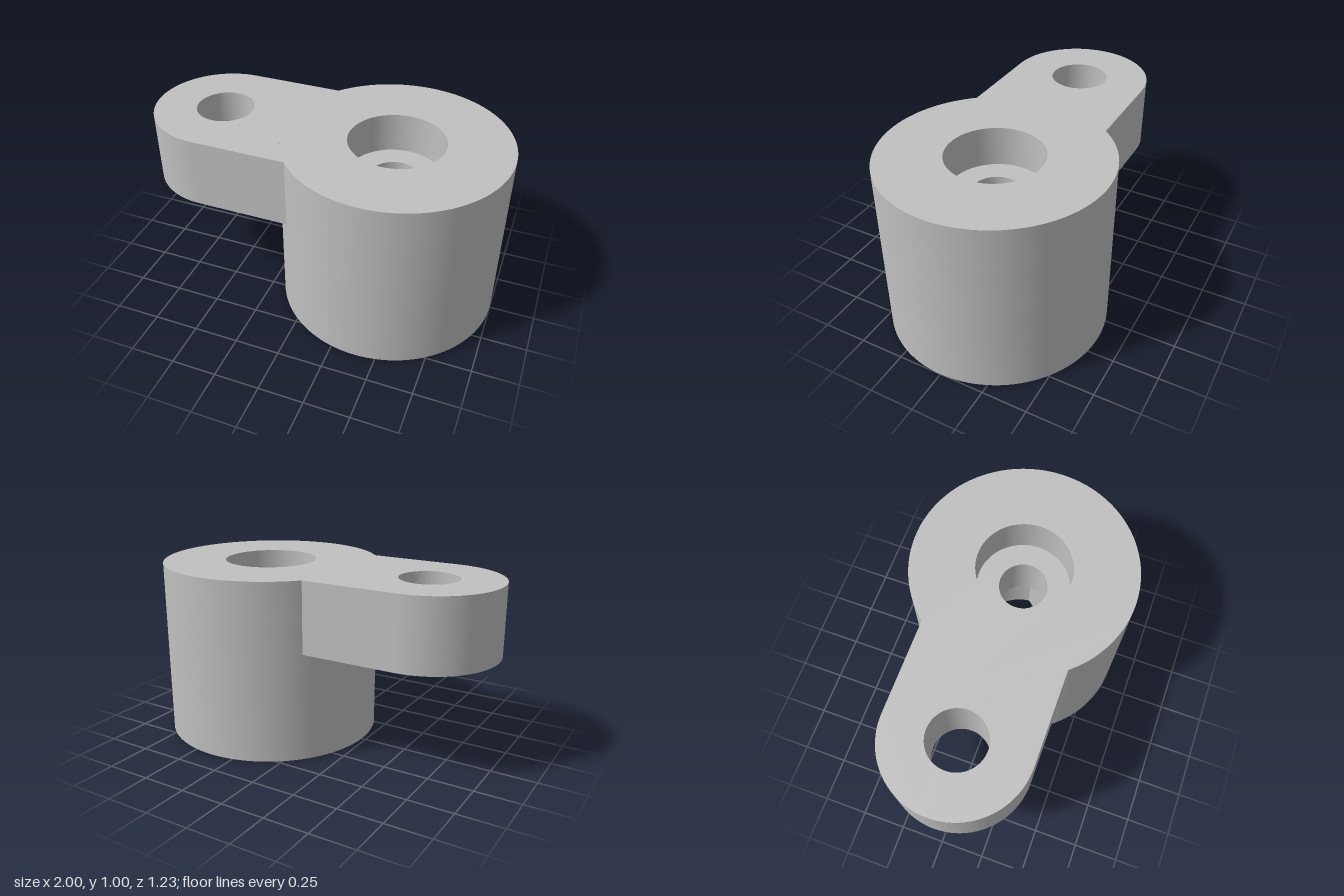
import * as THREE from 'three';
import { toCreasedNormals } from 'three/addons/utils/BufferGeometryUtils.js';

const TOP = 0.995;
const BOSS = { x: 0.387, r: 0.613 };
const ARM = { x: -0.605, r: 0.395, bottom: 0.6, hole: 0.16 };

function circle(PathType, x, r) {
  return new PathType().absarc(x, 0, r, 0, Math.PI * 2, false);
}

// Double-D socket: a circle cut by two parallel flats
function socketPath() {
  const dir = THREE.MathUtils.degToRad(50), half = THREE.MathUtils.degToRad(43.6);
  const path = new THREE.Path();
  path.absarc(BOSS.x, 0, 0.28, dir - half, dir + half, false);
  path.absarc(BOSS.x, 0, 0.28, dir + Math.PI - half, dir + Math.PI + half, false);
  path.closePath();
  return path;
}

// Upright slab between two heights, smooth round walls and sharp rims
function slab(name, shape, y0, y1, material) {
  const extruded = new THREE.ExtrudeGeometry(shape, { depth: y1 - y0, bevelEnabled: false, curveSegments: 72 });
  extruded.rotateX(-Math.PI / 2);
  const mesh = new THREE.Mesh(toCreasedNormals(extruded, Math.PI / 6), material);
  mesh.position.y = y0;
  mesh.name = name;
  return mesh;
}

export function createModel() {
  const group = new THREE.Group();
  group.name = 'leverKnob';
  const grey = new THREE.MeshStandardMaterial({ color: 0xc0c0c0 });
  grey.name = 'plainGrey';

  // Boss stacked from socket, screw bore and counterbore
  const layers = [
    ['bossSocket', 0, 0.5, socketPath()],
    ['bossBore', 0.5, 0.77, circle(THREE.Path, BOSS.x, 0.135)],
    ['bossCounterbore', 0.77, TOP, circle(THREE.Path, BOSS.x, 0.26)],
  ];
  for (const [name, y0, y1, hole] of layers) {
    const shape = circle(THREE.Shape, BOSS.x, BOSS.r);
    shape.holes.push(hole);
    group.add(slab(name, shape, y0, y1, grey));
  }

  // Arm: rounded outer end, inner end hollowed to meet the boss
  const meet = Math.PI - Math.asin(ARM.r / BOSS.r);
  const arm = new THREE.Shape();
  arm.absarc(ARM.x, 0, ARM.r, Math.PI / 2, Math.PI * 1.5, false);
  arm.absarc(BOSS.x, 0, BOSS.r, -meet, meet, true);
  arm.closePath();
  arm.holes.push(circle(THREE.Path, ARM.x, ARM.hole));
  group.add(slab('arm', arm, ARM.bottom, TOP, grey));

  return group;
}
